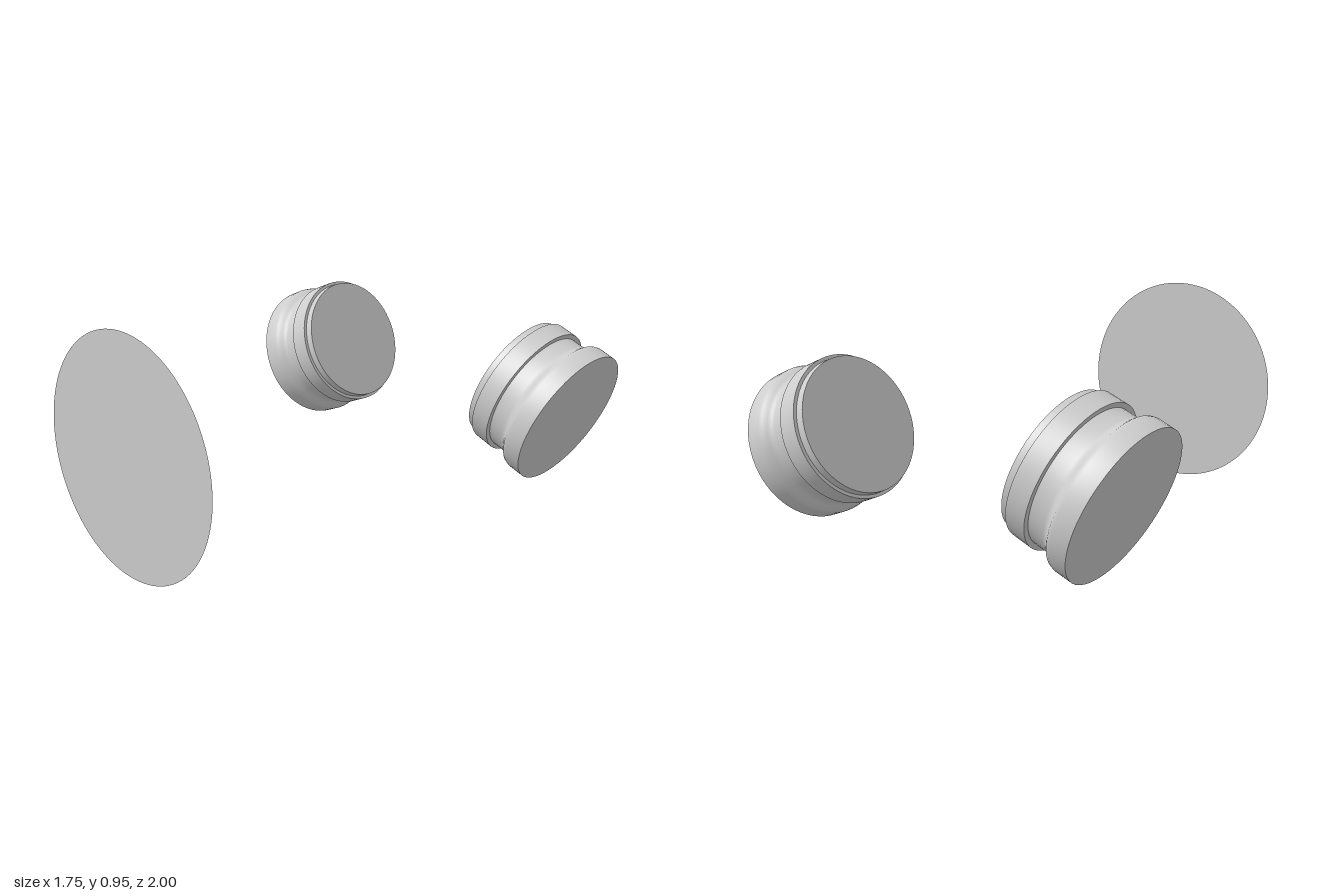
import * as THREE from 'three';
import { toCreasedNormals } from 'three/addons/utils/BufferGeometryUtils.js';

export function createModel() {
  const model = new THREE.Group();
  const grey = new THREE.MeshStandardMaterial({ color: 0xcccccc, side: THREE.DoubleSide });
  grey.name = 'light grey';

  // Flat round plate at the front
  const disc = new THREE.Mesh(new THREE.CircleGeometry(0.474, 96), grey);
  disc.name = 'frontDisc';
  disc.position.set(0, 0.476, 1);
  model.add(disc);

  // Turned knob: wide rim, rounded step, neck, collar and inner face
  // Each point is [radius, distance from the outer face]
  const profile = [
    [0, 0], [0.3075, 0], [0.3085, 0.07], [0.304, 0.085], [0.288, 0.1],
    [0.277, 0.113], [0.274, 0.125], [0.274, 0.19], [0.294, 0.19],
    [0.294, 0.273], [0.28, 0.273], [0.278, 0.306], [0, 0.306],
  ].map(([r, t]) => new THREE.Vector2(r, t));
  const knobGeometry = toCreasedNormals(new THREE.LatheGeometry(profile, 64), 0.7);

  // Mirrored pair at the rear, outer faces tilted down
  for (const side of [1, -1]) {
    const knob = new THREE.Mesh(knobGeometry, grey);
    knob.name = side > 0 ? 'leftKnob' : 'rightKnob';
    knob.position.set(side * 0.754, 0.4, -0.692);
    knob.rotation.z = side * 1.173;
    model.add(knob);
  }
  return model;
}
